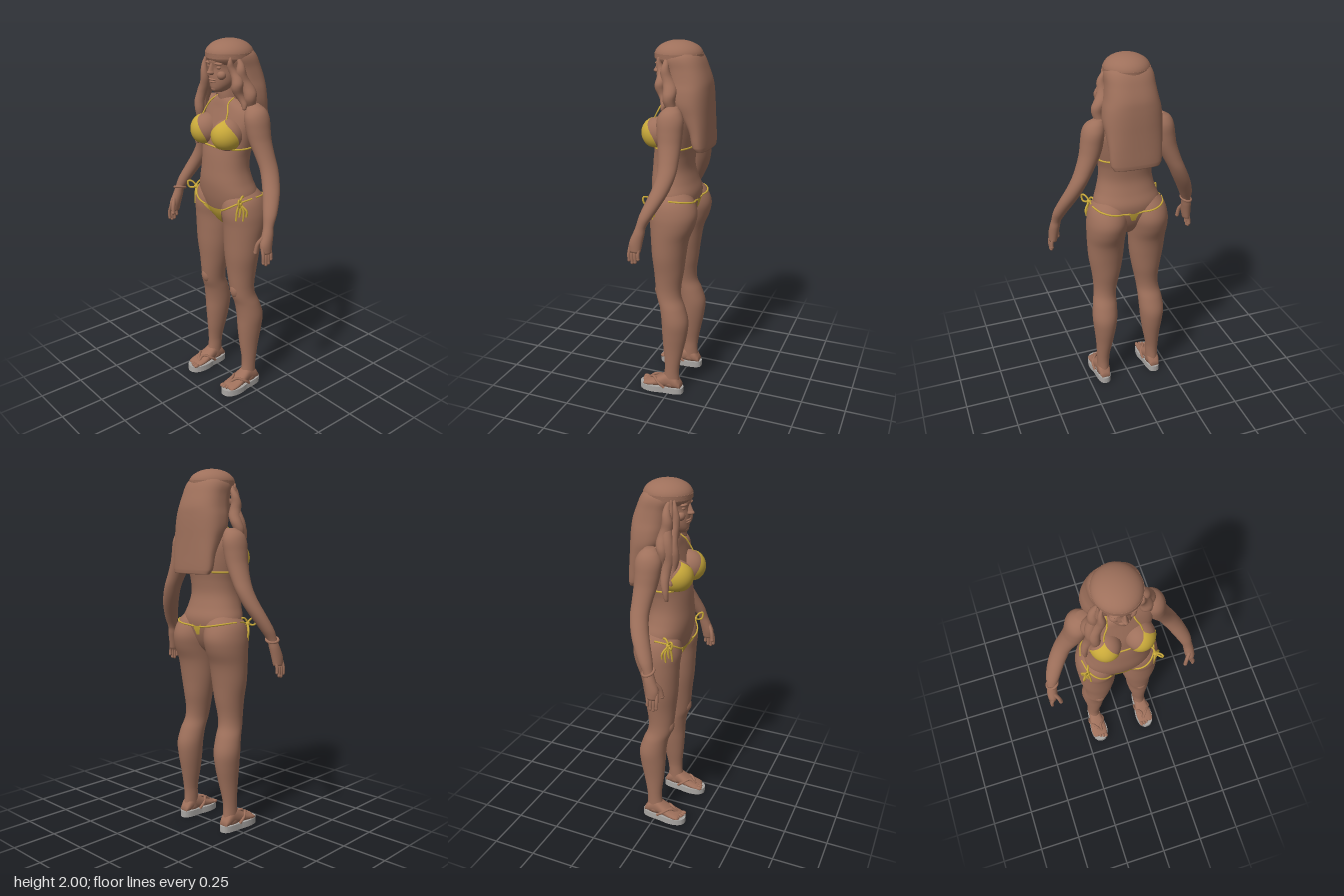
import * as THREE from 'three';

const mat = (name, color, side = THREE.FrontSide) =>
  Object.assign(new THREE.MeshStandardMaterial({ color, side }), { name });

// Cross-section rows: [y, centre x, half width, front z, back z], rising in y.
const TORSO = [
  [1.0, 0, .025, .05, -.03], [1.03, 0, .07, .075, -.06], [1.08, 0, .14, .105, -.09],
  [1.14, 0, .182, .125, -.11], [1.2, 0, .185, .137, -.115], [1.26, 0, .165, .142, -.095],
  [1.33, 0, .149, .137, -.077], [1.4, 0, .15, .13, -.08], [1.46, 0, .162, .12, -.09],
  [1.53, 0, .175, .11, -.098], [1.6, 0, .185, .09, -.098], [1.65, 0, .165, .075, -.088],
  [1.69, 0, .1, .065, -.07], [1.71, 0, .05, .055, -.05]];
const LEG = [
  [.04, .16, .036, .05, -.062], [.12, .158, .036, .032, -.055], [.18, .157, .038, .03, -.06],
  [.28, .15, .05, .04, -.08], [.38, .147, .064, .047, -.1], [.46, .146, .072, .05, -.105],
  [.54, .14, .07, .062, -.082], [.6, .133, .065, .083, -.058], [.66, .127, .069, .092, -.055],
  [.75, .122, .083, .1, -.068], [.85, .122, .099, .11, -.08], [.95, .122, .106, .115, -.098],
  [1.03, .122, .11, .12, -.13], [1.1, .117, .112, .128, -.143], [1.17, .11, .1, .115, -.12],
  [1.22, .1, .07, .08, -.08]];
const ARM = [
  [.965, .405, .022, .12, .06], [1.01, .4, .027, .124, .052], [1.06, .394, .028, .105, .042],
  [1.1, .387, .027, .09, .035], [1.16, .37, .037, .075, 0], [1.24, .335, .044, .045, -.045],
  [1.3, .305, .046, .025, -.07], [1.36, .276, .046, .015, -.085], [1.42, .247, .049, .02, -.088],
  [1.5, .214, .056, .035, -.09], [1.56, .2, .06, .045, -.092], [1.62, .19, .06, .048, -.092],
  [1.66, .18, .05, .03, -.075], [1.685, .165, .025, 0, -.05]];
const HEAD = [
  [1.735, 0, .02, .098, .05], [1.75, 0, .042, .114, 0], [1.78, 0, .062, .119, -.03],
  [1.82, 0, .073, .12, -.07], [1.86, 0, .076, .117, -.09], [1.9, 0, .08, .124, -.1], [1.95, 0, .07, .1, -.08]];
const HAIR = [
  [1.445, .0, .125, -.12, -.183], [1.47, 0, .138, -.1, -.186], [1.55, 0, .143, -.08, -.184],
  [1.63, 0, .15, -.03, -.182], [1.69, 0, .156, .02, -.181], [1.75, 0, .15, .035, -.178],
  [1.8, 0, .138, .045, -.172], [1.86, 0, .128, .06, -.152], [1.92, 0, .121, .09, -.126], [1.96, 0, .09, .06, -.09]];

// Smooth section at height y.
function section(rows, y) {
  let i = 0;
  while (i < rows.length - 2 && y > rows[i + 1][0]) i++;
  const at = k => rows[Math.min(Math.max(k, 0), rows.length - 1)];
  const [a, b, c, d] = [at(i - 1), at(i), at(i + 1), at(i + 2)];
  const h = c[0] - b[0], t = (y - b[0]) / h;
  return b.map((_, k) => {
    if (!k) return y;
    const m0 = (c[k] - a[k]) / (c[0] - a[0]) * h, m1 = (d[k] - b[k]) / (d[0] - b[0]) * h;
    return b[k] + t * m0 + t * t * (3 * (c[k] - b[k]) - 2 * m0 - m1) + t ** 3 * (2 * (b[k] - c[k]) + m0 + m1);
  });
}

// Closed skin through the rows; n is the roundness exponent.
function loft(rows, s = 1, n = 2, N = 40, sub = 5) {
  const pos = [], idx = [], rings = [];
  for (let i = 0; i < rows.length - 1; i++)
    for (let k = 0; k < sub; k++) rings.push(section(rows, rows[i][0] + (rows[i + 1][0] - rows[i][0]) * k / sub));
  rings.push(rows[rows.length - 1]);
  const pw = v => Math.sign(v) * Math.abs(v) ** (2 / n);
  rings.forEach(([y, cx, rx, zf, zb]) => {
    for (let i = 0; i < N; i++) {
      const a = i / N * Math.PI * 2;
      pos.push(s * cx + rx * pw(Math.cos(a)), y, (zf + zb) / 2 + (zf - zb) / 2 * pw(Math.sin(a)));
    }
  });
  const last = rings.length - 1, bottom = rings.length * N, top = bottom + 1;
  for (const r of [rings[0], rings[last]]) pos.push(s * r[1], r[0], (r[3] + r[4]) / 2);
  for (let i = 0; i < N; i++) {
    const j = (i + 1) % N;
    for (let r = 0; r < last; r++) {
      const p = r * N + i, q = r * N + j;
      idx.push(p, p + N, q, q, p + N, q + N);
    }
    idx.push(bottom, i, j, top, last * N + j, last * N + i);
  }
  return finish(pos, idx);
}

function finish(pos, idx) {
  const g = new THREE.BufferGeometry();
  g.setAttribute('position', new THREE.Float32BufferAttribute(pos, 3));
  g.setIndex(idx);
  g.computeVertexNormals();
  return g;
}

// Open sheet from f(u, v), u and v in 0..1.
function sheet(f, n = 16) {
  const pos = [], idx = [];
  for (let j = 0; j <= n; j++) for (let i = 0; i <= n; i++) pos.push(...f(i / n, j / n));
  for (let j = 0; j < n; j++) for (let i = 0; i < n; i++) {
    const a = j * (n + 1) + i, b = a + n + 1;
    idx.push(a, a + 1, b, a + 1, b + 1, b);
  }
  return finish(pos, idx);
}

const tube = (pts, r, closed = false) => new THREE.TubeGeometry(
  new THREE.CatmullRomCurve3(pts.map(p => new THREE.Vector3(...p)), closed), pts.length * 6, r, 8, closed);

// Depth of the hip and belly surface at x, y; dir 1 = front, -1 = back.
function skinZ(x, y, dir) {
  const z = [[TORSO, 2.2], [LEG, 2]].map(([rows, n]) => {
    const [, cx, rx, zf, zb] = section(rows, Math.min(y, rows[rows.length - 1][0]));
    const k = Math.min(Math.abs((Math.abs(x) - cx) / rx), 1);
    return dir * (zf + zb) / 2 + (zf - zb) / 2 * (1 - k ** n) ** (1 / n);
  });
  return dir * (y > 1.21 ? z[0] : Math.max(...z));
}

export function createModel() {
  const model = new THREE.Group();
  const skin = mat('warm brown', 0x9e705b);
  const cloth = mat('yellow cloth', 0xc9a93a, THREE.DoubleSide);
  const rubber = mat('grey rubber', 0xa9a6a3);
  const add = (name, geo, m = skin) => {
    const mesh = new THREE.Mesh(geo, m);
    mesh.name = name;
    model.add(mesh);
    return mesh;
  };
  const ball = (name, p, r, m = skin) => {
    const b = add(name, new THREE.SphereGeometry(1, 28, 20), m);
    b.position.set(...p);
    b.scale.set(...r);
    return b;
  };

  add('torso', loft(TORSO, 1, 2.2, 56));
  add('neck', loft([[1.62, 0, .075, .06, -.07], [1.68, 0, .058, .062, -.06], [1.73, 0, .053, .065, -.05], [1.8, 0, .05, .06, -.05]]));

  // Head, face, hair and cap
  add('head', loft(HEAD));
  add('nose', loft([[1.827, 0, .012, .13, .09], [1.836, 0, .017, .147, .09], [1.85, 0, .012, .14, .09], [1.89, 0, .008, .122, .09]], 1, 2, 16));
  ball('upperLip', [0, 1.802, .115], [.028, .006, .011]);
  ball('lowerLip', [0, 1.79, .114], [.024, .007, .011]);
  ball('chin', [0, 1.755, .1], [.022, .017, .017]);
  add('hair', loft(HAIR, 1, 2.5, 48));
  ball('cap', [0, 1.925, .003], [.121, .075, .129]);
  const band = add('capBand', new THREE.CylinderGeometry(.121, .12, .025, 48));
  band.position.set(0, 1.922, .003);
  band.scale.z = 1.065;

  // Wavy locks: long over the right shoulder, short on the left
  const lock = (name, s, y0, xOf, zOf, r, phase) => {
    const rows = [];
    for (let i = 0; i <= 10; i++) {
      const t = i / 10, w = r * Math.max(.15, Math.sin(Math.PI * (.1 + .84 * t)));
      const x = xOf(t) + .009 * Math.sin(t * 13 + phase), z = zOf(t) + .007 * Math.cos(t * 13 + phase);
      rows.push([y0 + (1.92 - y0) * t, x, w, z + w, z - w]);
    }
    add(name, loft(rows, s, 2, 16, 3));
  };
  lock('longLockOuter', -1, 1.42, t => .19 - .085 * t, t => .07 - .01 * t, .031, 0);
  lock('longLockInner', -1, 1.5, t => .162 - .075 * t, t => .095 - .015 * t, .028, 2);
  lock('longLockBack', -1, 1.58, t => .175 - .07 * t, t => .035 + .02 * t, .033, 4);
  lock('shortLockFront', 1, 1.66, t => .15 - .06 * t, t => .03 + .045 * t, .03, 1);
  lock('shortLockBack', 1, 1.62, t => .175 - .07 * t, t => -.03 + .07 * t, .036, 3);

  for (const s of [1, -1]) {
    const side = s > 0 ? 'left' : 'right';
    ball(side + 'Ear', [s * .079, 1.84, .02], [.012, .028, .018]);
    ball(side + 'Brow', [s * .034, 1.884, .104], [.03, .008, .017]);
    ball(side + 'Eye', [s * .032, 1.864, .1], [.016, .009, .011]);
    ball(side + 'Cheek', [s * .04, 1.825, .088], [.026, .024, .024]);

    // Chest and swimsuit cup
    ball(side + 'Breast', [s * .088, 1.525, .085], [.08, .085, .09]);
    add(side + 'Cup', sheet((u, v) => {
      const el = -.87 + v * 2.15, k = 1 - v ** 1.7;
      const az = (.35 * v) + (u * 1.75 - (1 - u) * 1.0) * k;
      return [s * (.088 + .083 * Math.sin(az) * Math.cos(el)), 1.525 + .088 * Math.sin(el), .085 + .0935 * Math.cos(az) * Math.cos(el)];
    }, 20), cloth);
    add(side + 'NeckString', tube([[s * .098, 1.605, .105], [s * .09, 1.64, .088], [s * .07, 1.68, .068],
      [s * .06, 1.705, .02], [s * .045, 1.715, -.04], [0, 1.715, -.06]], .004), cloth);

    // Arm, hand and fingers
    add(side + 'Arm', loft(ARM, s));
    for (let f = 0; f < 4; f++) {
      const z = .066 + f * .017, tip = .9 + [.022, .004, 0, .012][f];
      add(side + 'Finger', tube([[s * .403, 1.0, z], [s * .416, .955, z + .004], [s * .417, tip + .008, z + .003]], .0092));
      ball(side + 'Fingertip', [s * .417, tip + .008, z + .003], [.0092, .011, .0092]);
    }
    add(side + 'Thumb', tube([[s * .392, 1.05, .1], [s * .373, 1.01, .122], [s * .366, .965, .13]], .011));
    ball(side + 'ThumbTip', [s * .366, .965, .13], [.011, .013, .011]);

    // Leg, kneecap and foot
    add(side + 'Leg', loft(LEG, s));
    ball(side + 'Knee', [s * .13, .635, .062], [.036, .05, .034]);
    const foot = add(side + 'Foot', loft([[-.07, .16, .026, -.03, -.06], [-.045, .16, .035, -.03, -.1], [0, .16, .037, -.03, -.125],
      [.05, .16, .044, -.03, -.098], [.1, .161, .05, -.03, -.07], [.145, .162, .046, -.03, -.054], [.155, .162, .035, -.03, -.045]], s, 2.3, 28));
    foot.rotation.x = Math.PI / 2;
    for (let t = 0; t < 5; t++)
      ball(side + 'Toe', [s * (.127 + t * .018), .042, .158 - t * t * .002], [t ? .009 : .012, .011, .018]);

    // Sandal sole and straps
    const sole = new THREE.Shape();
    sole.moveTo(0, -.083);
    sole.bezierCurveTo(.045, -.083, .038, -.02, .045, .04);
    sole.bezierCurveTo(.068, .11, .052, .183, 0, .183);
    sole.bezierCurveTo(-.052, .183, -.062, .11, -.045, .04);
    sole.bezierCurveTo(-.038, -.02, -.045, -.083, 0, -.083);
    const slab = add(side + 'Sole', new THREE.ExtrudeGeometry(sole, { depth: .036, bevelEnabled: false, curveSegments: 16 }), rubber);
    slab.rotation.x = Math.PI / 2;
    slab.position.set(s * .16, .036, 0);
    for (const e of [-1, 1])
      add(side + 'SandalStrap', tube([[s * .142, .045, .135], [s * .16 + e * .016, .082, .095], [s * .16 + e * .045, .065, .055], [s * .16 + e * .043, .035, .02]], .008));

    // Hip strings, front and back
    for (const [name, dir, x0, y0] of [['Front', 1, .07, 1.108], ['Back', -1, .02, 1.155]]) {
      const pts = [];
      for (let i = 0; i <= 10; i++) {
        const t = i / 10, x = x0 + (.2 - x0) * t, y = y0 + (1.185 - y0) * t ** 1.3;
        pts.push([s * x, y, skinZ(x, y, dir) + dir * .002]);
      }
      add(side + name + 'HipString', tube(pts, .005), cloth);
    }
    // Hip bow with loops and tails
    const zb = skinZ(.185, 1.16, 1) + .006;
    ball(side + 'BowKnot', [s * .19, 1.17, zb], [.013, .013, .013], cloth);
    for (const e of [-1, 1])
      add(side + 'BowLoop', tube([[s * .19, 1.17, zb], [s * (.195 + e * .012), 1.2, zb + e * .018], [s * (.198 + e * .022), 1.2, zb + e * .034],
        [s * (.197 + e * .02), 1.165, zb + e * .028]], .0055, true), cloth);
    for (let t = 0; t < 4; t++) {
      const x = .178 + t * .012;
      add(side + 'BowTail', tube([[s * .19, 1.17, zb], [s * (x + .004), 1.13, zb + .012 - t * .012], [s * x, 1.075 + (t % 2) * .022, zb + .016 - t * .014]], .006), cloth);
    }
  }

  // Swimsuit bottom panels and chest string
  const panel = (dir, half, yTop, yLow) => sheet((u, v) => {
    const x = (2 * u - 1) * (.012 + (half - .012) * v ** 1.3), y = yLow + (yTop - yLow) * v + .012 * v * (2 * u - 1) ** 2;
    return [x, y, skinZ(x, y, dir) + dir * .005];
  });
  add('bottomFront', panel(1, .09, 1.105, 1.005), cloth);
  add('bottomBack', panel(-1, .035, 1.158, 1.11), cloth);
  const [, , rx, zf, zk] = section(TORSO, 1.452), ring = [];
  for (let i = 0; i < 32; i++) {
    const a = i / 32 * Math.PI * 2, p = v => Math.sign(v) * Math.abs(v) ** (2 / 2.2);
    ring.push([(rx + .001) * p(Math.cos(a)), 1.452, (zf + zk) / 2 + ((zf - zk) / 2 + .001) * p(Math.sin(a))]);
  }
  add('chestString', tube(ring, .005, true), cloth);

  // Right wrist bracelet
  const cuff = add('bracelet', new THREE.TorusGeometry(.032, .007, 10, 28));
  cuff.position.set(-.386, 1.105, .062);
  cuff.rotation.set(Math.PI / 2 - .3, .3, 0);
  return model;
}
